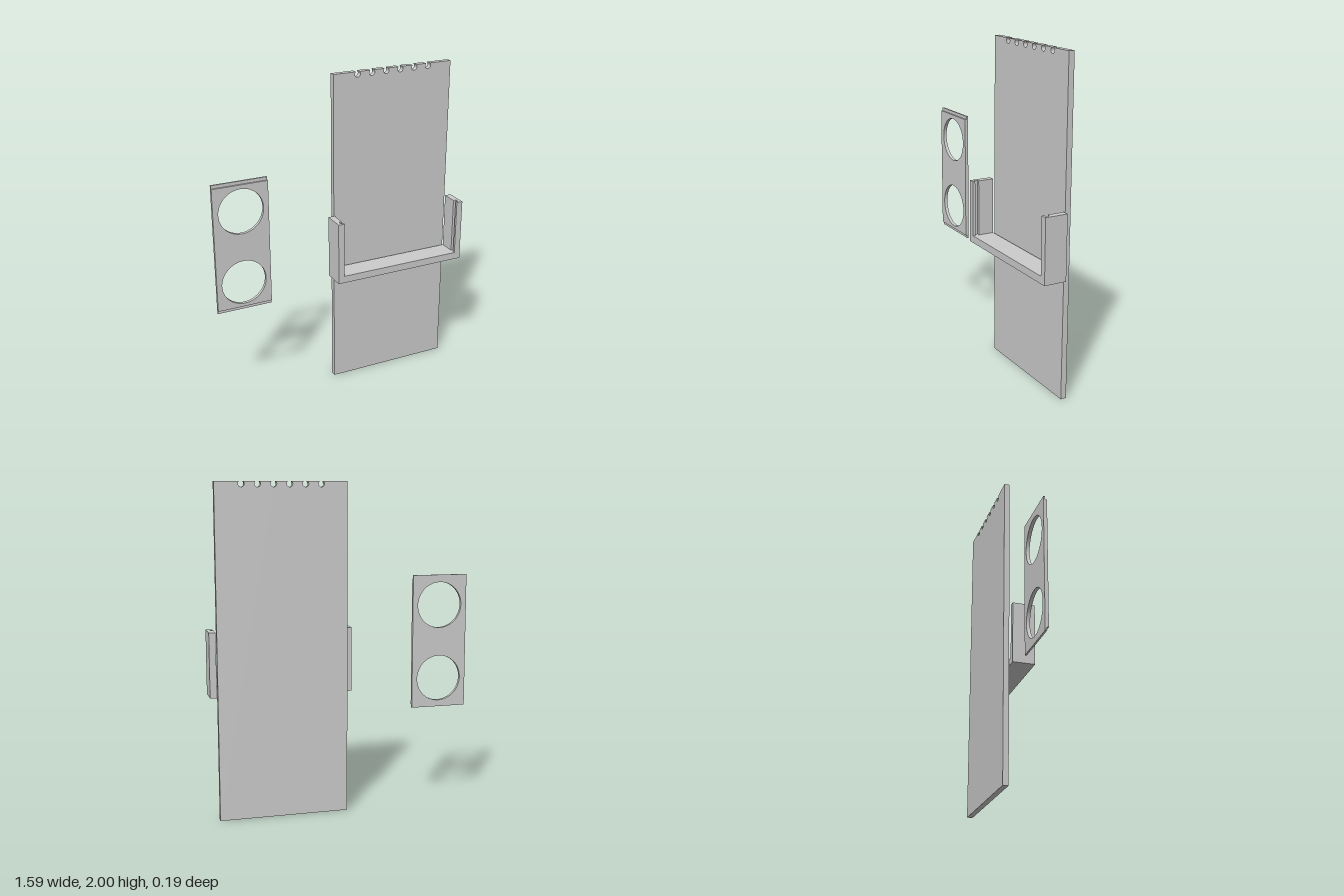
import * as THREE from 'three';

const material = new THREE.MeshStandardMaterial({ color: 0xcccccc, flatShading: true });

function addMesh(parent, name, geometry) {
  const mesh = new THREE.Mesh(geometry, material);
  mesh.name = name;
  parent.add(mesh);
  return mesh;
}

// Extrudes a shape along z between two depths
function slab(shape, z0, z1) {
  const geometry = new THREE.ExtrudeGeometry(shape, { depth: z1 - z0, bevelEnabled: false, curveSegments: 48 });
  return geometry.translate(0, 0, z0);
}

function polygon(points) {
  return new THREE.Shape(points.map(([x, y]) => new THREE.Vector2(x, y)));
}

function box(x0, x1, y0, y1, z0, z1) {
  return new THREE.BoxGeometry(x1 - x0, y1 - y0, z1 - z0)
    .translate((x0 + x1) / 2, (y0 + y1) / 2, (z0 + z1) / 2);
}

// Tall panel with round-bottomed cable notches along its top edge
function panelGeometry() {
  const shape = new THREE.Shape();
  const radius = 0.018, centreY = 1.985;
  const mouth = Math.acos(0.014 / radius);
  shape.moveTo(-0.035, 0);
  shape.lineTo(0.75, 0);
  shape.lineTo(0.75, 2);
  for (let i = 5; i >= 0; i--) {
    const x = 0.122 + i * 0.0943;
    shape.lineTo(x + 0.014, 2);
    shape.absarc(x, centreY, radius, mouth, -Math.PI - mouth, true);
    shape.lineTo(x - 0.014, 2);
  }
  shape.lineTo(-0.035, 2);
  return slab(shape, -0.095, -0.06);
}

// Bracket side wall: plan outline with an inner groove, raised along y
function wallGeometry(outer, inner, groove) {
  const points = [
    [outer, -0.05], [inner, -0.05], [inner, 0.05], [groove, 0.05],
    [groove, 0.074], [inner, 0.074], [inner, 0.09], [outer, 0.09],
  ].map(([x, z]) => [x, -z]);
  return slab(polygon(points), 0.785, 1.13).rotateX(-Math.PI / 2);
}

export function createModel() {
  const model = new THREE.Group();
  model.name = 'panelKit';

  addMesh(model, 'notchedPanel', panelGeometry());

  // U-shaped bracket
  const bracket = new THREE.Group();
  bracket.name = 'bracket';
  addMesh(bracket, 'bracketFloor', box(-0.075, 0.79, 0.74, 0.785, -0.05, 0.09));
  addMesh(bracket, 'rightWall', wallGeometry(-0.075, -0.035, -0.053));
  addMesh(bracket, 'leftWall', wallGeometry(0.79, 0.75, 0.768));
  model.add(bracket);

  // Cover plate with two round openings and a thin tongue at each end
  const cover = new THREE.Group();
  cover.name = 'coverPlate';
  const plate = polygon([[-0.795, 0.64], [-0.45, 0.64], [-0.45, 1.42], [-0.795, 1.42]]);
  for (const y of [0.8, 1.255]) {
    plate.holes.push(new THREE.Path().absarc(-0.622, y, 0.14, 0, Math.PI * 2, true));
  }
  addMesh(cover, 'plateBody', slab(plate, -0.096, -0.075));
  addMesh(cover, 'upperTongue', box(-0.795, -0.45, 1.42, 1.44, -0.096, -0.085));
  addMesh(cover, 'lowerTongue', box(-0.795, -0.45, 0.62, 0.64, -0.096, -0.085));
  model.add(cover);

  return model;
}
